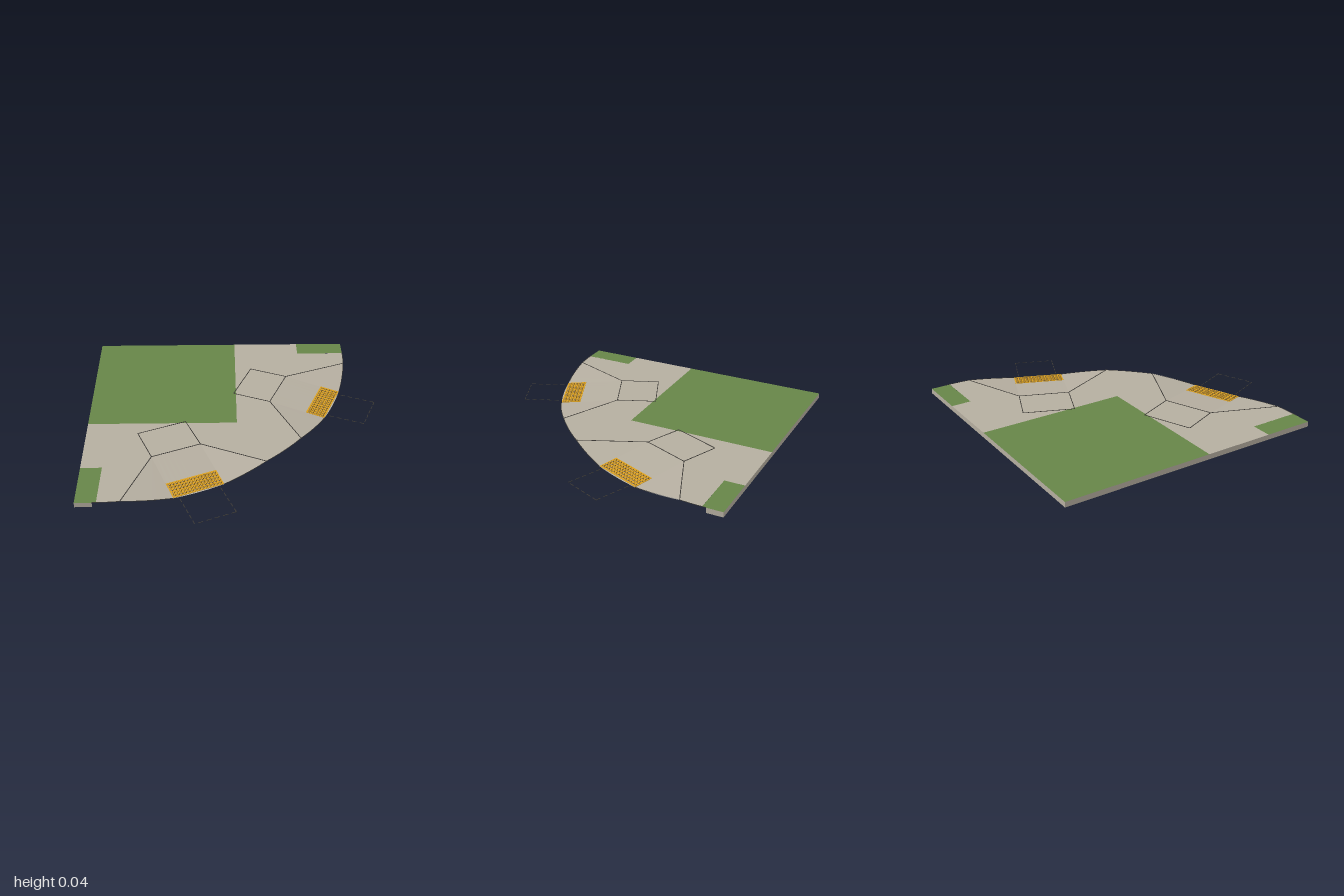
import * as THREE from 'three';

const H = 0.035;          // pavement height
const C = -0.89;          // centre of the kerb arc in x and z
const R = 1.72;           // kerb radius
const HALF = 0.172;       // half width of ramp
const INNER = 1.307;      // radius where the ramp starts
const LANDING = 1.033;    // radius where the landing starts
const rad = THREE.MathUtils.degToRad;
const FOOT = rad(5.75);   // half angle of the ramp foot
const FLARE = rad(16.8);  // half angle including the flared sides
const RAMP_ANGLES = [rad(22.5), rad(67.5)];

const mat = (name, color, side = THREE.DoubleSide) => {
  const m = new THREE.MeshStandardMaterial({ color, side });
  m.name = name;
  return m;
};

export function createModel() {
  const concrete = mat('concrete', 0xb5aea0);
  const grass = mat('grass', 0x668548);
  const gold = mat('tactile yellow', 0xdaa020, THREE.FrontSide);
  const brown = mat('dome shade', 0x6a4d12, THREE.FrontSide);
  const ink = mat('joint line', 0x3a3834, THREE.FrontSide);

  const model = new THREE.Group();
  const add = (parent, name, geo, material) => {
    const m = new THREE.Mesh(geo, material);
    m.name = name;
    parent.add(m);
    return m;
  };
  const V = (x, y, z) => new THREE.Vector3(x, y, z);
  const arc = (a, y = H) => V(Math.cos(a) * R, y, Math.sin(a) * R);

  // thin straight line lying on a surface
  const line = (parent, name, a, b, w = 0.005) => {
    const d = b.clone().sub(a);
    const m = add(parent, name, new THREE.BoxGeometry(w, 0.002, d.length()), ink);
    m.position.copy(a).lerp(b, 0.5);
    m.position.y += 0.0015;
    m.quaternion.setFromUnitVectors(V(0, 0, 1), d.normalize());
  };

  // flat sheet from [x, z] points at pavement height
  const sheet = (name, pts, material) => {
    const geo = new THREE.ShapeGeometry(
      new THREE.Shape(pts.map(([x, z]) => new THREE.Vector2(x, -z))));
    geo.rotateX(-Math.PI / 2);
    add(model, name, geo, material).position.y = H;
  };
  const rect = (x0, z0, x1, z1) => [[x0, z0], [x1, z0], [x1, z1], [x0, z1]];

  // pavement outline: kerb arcs with a notch for each ramp
  const polar = (u, v, t) => [
    C + u * Math.cos(t) - v * Math.sin(t), C + u * Math.sin(t) + v * Math.cos(t)];
  const outline = [[0.015, -1], [0.49, -1], [0.49, -0.865]];
  const kerb = (a, b) => {
    for (let i = 0; i <= 10; i++) outline.push(polar(R, 0, a + (b - a) * i / 10));
  };
  const notch = (t) => outline.push(polar(INNER, -HALF, t), polar(INNER, HALF, t));
  const [t0, t1] = RAMP_ANGLES;
  kerb(rad(0.85), t0 - FLARE);
  notch(t0);
  kerb(t0 + FLARE, t1 - FLARE);
  notch(t1);
  kerb(t1 + FLARE, rad(89.15));
  outline.push([-0.86, 0.49], [-1, 0.49], [-1, 0.015], [0.015, 0.015]);
  sheet('pavement', outline, concrete);

  // lawns
  sheet('cornerLawn', rect(-1, -1, 0.015, 0.015), grass);
  sheet('rightVerge', rect(0.49, -1, 0.83, -0.865), grass);
  sheet('frontVerge', rect(-1, 0.49, -0.86, 0.83), grass);

  // upright edge walls
  const wall = (name, len, x, z, turn) => {
    const m = add(model, name, new THREE.PlaneGeometry(len, H), concrete);
    m.position.set(x, H / 2, z);
    m.rotation.y = turn;
  };
  wall('backWall', 1.83, -0.085, -1, Math.PI);
  wall('sideWall', 1.83, -1, -0.085, -Math.PI / 2);
  wall('frontEndWall', 0.11, -0.945, 0.83, 0);
  wall('rightEndWall', 0.11, 0.83, -0.945, Math.PI / 2);

  // surface from a list of triangle corners
  const facets = (pts) => {
    const g = new THREE.BufferGeometry().setFromPoints(pts);
    g.computeVertexNormals();
    return g;
  };

  // kerb ramp, built along +x from the arc centre
  const buildRamp = () => {
    const g = new THREE.Group();
    g.name = 'kerbRamp';
    const N = 10;

    // sloping centre
    const top = (f) => V(INNER, H, (2 * f - 1) * HALF);
    const foot = (f) => arc((2 * f - 1) * FOOT, 0);
    const slope = [];
    for (let i = 0; i < N; i++) {
      const a = i / N, b = (i + 1) / N;
      slope.push(top(a), top(b), foot(b), top(a), foot(b), foot(a));
    }
    add(g, 'rampSlope', facets(slope), concrete);

    // flared sides, with corner joints and rim line
    for (const s of [-1, 1]) {
      const corner = V(INNER, H, s * HALF);
      const edge = (f) => arc(s * (FOOT + (FLARE - FOOT) * f), H * f);
      const fan = [];
      for (let i = 0; i < N; i++) {
        const p = edge(i / N), q = edge((i + 1) / N);
        fan.push(corner, ...(s > 0 ? [q, p] : [p, q]));
        line(g, 'rimLine', p, q, 0.004);
      }
      add(g, 'rampFlare', facets(fan), concrete);
      line(g, 'flareJoint', corner, edge(1));
      line(g, 'landingJoint', V(LANDING, H, s * HALF), corner);
    }
    for (const u of [LANDING, INNER]) {
      line(g, 'landingJoint', V(u, H, -HALF), V(u, H, HALF));
    }

    // tactile pad with rows of raised domes
    const pad = new THREE.Group();
    pad.name = 'tactilePad';
    const u = 1.643;
    pad.position.set(u, H * (R - u) / (R - INNER), 0);
    pad.rotation.z = -Math.atan(H / (R - INNER));
    add(pad, 'padPlate', new THREE.BoxGeometry(0.135, 0.003, 2 * HALF), gold).position.y = 0.0015;
    const dome = new THREE.CylinderGeometry(0.006, 0.0105, 0.003, 10);
    for (let i = 0; i < 5; i++) {
      for (let j = 0; j < 14; j++) {
        add(pad, 'dome', dome, [brown, gold, gold])
          .position.set((i - 2) * 0.0245, 0.0045, (j - 6.5) * 0.0238);
      }
    }
    g.add(pad);

    // dashed outline on the road
    const dashes = (a, b, n) => {
      for (let i = 0; i < n; i++) {
        line(g, 'roadDash', a.clone().lerp(b, i / n), a.clone().lerp(b, (i + 0.6) / n));
      }
    };
    const far = 1.984, w = 0.137;
    dashes(V(far, 0, -w), V(1.715, 0, -w), 5);
    dashes(V(far, 0, w), V(1.715, 0, w), 5);
    dashes(V(far, 0, -w), V(far, 0, w), 5);
    return g;
  };

  for (const t of RAMP_ANGLES) {
    const ramp = buildRamp();
    ramp.position.set(C, 0, C);
    ramp.rotation.y = -t;
    model.add(ramp);
  }

  // rim line along the level kerb
  const rim = new THREE.Group();
  rim.name = 'kerbRim';
  rim.position.set(C, 0, C);
  for (const [a, b] of [[0, t0 - FLARE], [t0 + FLARE, t1 - FLARE], [t1 + FLARE, Math.PI / 2]]) {
    for (let i = 0; i < 8; i++) {
      line(rim, 'rimLine', arc(a + (b - a) * i / 8), arc(a + (b - a) * (i + 1) / 8), 0.004);
    }
  }
  model.add(rim);
  return model;
}
